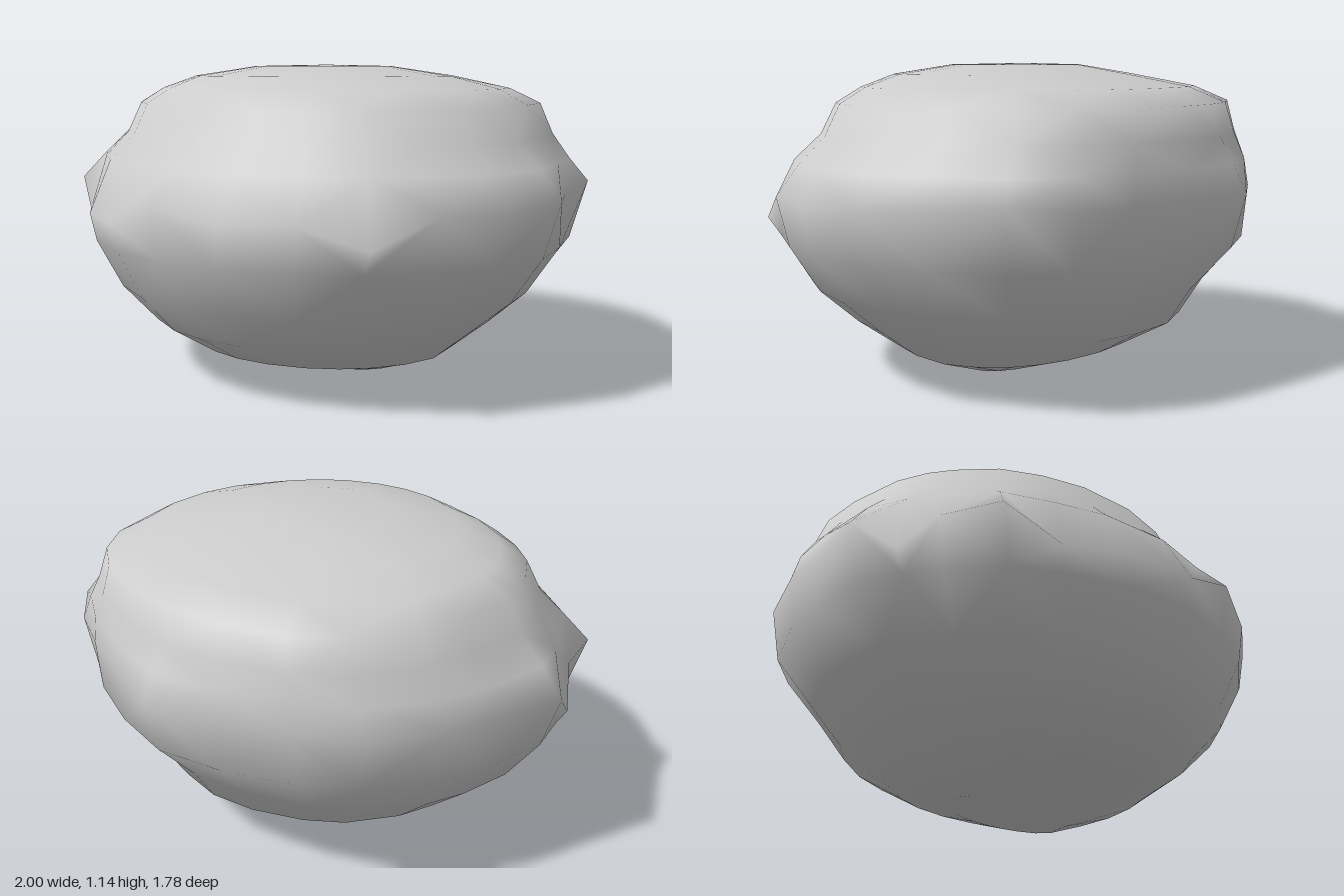
import * as THREE from 'three';

// widest outline of the boulder: x, z, height
const GIRTH = [
  [0, 0.89, 0.69], [0.25, 0.85, 0.65], [0.5, 0.76, 0.66], [0.7, 0.65, 0.59], [0.83, 0.48, 0.69], [0.94, 0.27, 0.68],
  [1, 0.03, 0.7], [0.9, -0.2, 0.7], [0.86, -0.46, 0.72], [0.7, -0.6, 0.7], [0.5, -0.7, 0.7], [0.25, -0.8, 0.7],
  [0, -0.89, 0.7], [-0.25, -0.81, 0.7], [-0.5, -0.7, 0.7], [-0.69, -0.6, 0.7], [-0.84, -0.37, 0.7], [-0.9, -0.2, 0.7],
  [-1, 0.03, 0.7], [-0.95, 0.18, 0.58], [-0.88, 0.29, 0.7], [-0.84, 0.5, 0.7], [-0.66, 0.61, 0.6], [-0.5, 0.74, 0.61],
  [-0.25, 0.86, 0.61],
];

// rings from base to top: y, half width, front depth, back depth, lift at front and back,
// share of the girth's irregularity, squareness of the back (2 = round)
const RINGS = [
  [0.003, 0.27, 0.25, 0.22, 0.15, 0, 2],
  [0.09, 0.51, 0.5, 0.42, 0.03, 0.1, 2],
  [0.21, 0.66, 0.67, 0.61, 0, 0.2, 2],
  [0.34, 0.82, 0.78, 0.69, 0, 0.3, 2],
  [0.51, 0.94, 0.86, 0.84, 0, 0.4, 2],
  null, // the girth itself
  [0.8, 0.92, 0.785, 0.84, 0, 0.4, 2.1],
  [0.89, 0.83, 0.69, 0.79, 0, 0.2, 2.3],
  [1.0, 0.77, 0.64, 0.75, 0, 0.1, 2.4],
  [1.055, 0.67, 0.56, 0.61, 0, 0, 2.4],
  [1.1, 0.5, 0.48, 0.38, 0, 0, 2.2],
  [1.135, 0.26, 0.27, 0.2, 0, 0, 2],
];

function ringPoint(ring, [gx, gz, gy]) {
  if (!ring) return [gx, gy, gz];
  const [y, width, front, back, lift, rough, square] = ring;
  const ez = gz / 0.885, p = gz < 0 ? square : 2;
  const norm = (Math.abs(gx) ** p + Math.abs(ez) ** p) ** (1 / p);
  const k = THREE.MathUtils.lerp(1 / norm, 1, rough);
  const z = ez * k * (gz > 0 ? front : back);
  return [gx * k * width, y + lift * Math.abs(z), z];
}

function boulderGeometry() {
  const n = GIRTH.length, positions = [], index = [];
  for (const ring of RINGS) for (const g of GIRTH) positions.push(...ringPoint(ring, g));
  for (let r = 0; r < RINGS.length - 1; r++) {
    for (let i = 0; i < n; i++) {
      const a = r * n + i, b = r * n + (i + 1) % n, c = a + n, d = b + n;
      // alternate the diagonals for a chipped look
      if ((i + r) % 2) index.push(a, b, d, a, d, c);
      else index.push(a, b, c, b, d, c);
    }
  }
  // close the base and the crown
  const base = positions.length / 3, crown = base + 1, last = (RINGS.length - 1) * n;
  positions.push(0, 0.03, 0, 0, 1.14, 0);
  for (let i = 0; i < n; i++) {
    const j = (i + 1) % n;
    index.push(base, j, i, crown, last + i, last + j);
  }
  const geometry = new THREE.BufferGeometry();
  geometry.setAttribute('position', new THREE.Float32BufferAttribute(positions, 3));
  geometry.setIndex(index);
  geometry.computeVertexNormals();
  return geometry;
}

export function createModel() {
  const group = new THREE.Group();
  group.name = 'rock';
  const stone = new THREE.MeshStandardMaterial({ color: 0xcccccc });
  stone.name = 'stone grey';
  const boulder = new THREE.Mesh(boulderGeometry(), stone);
  boulder.name = 'boulder';
  group.add(boulder);
  return group;
}
